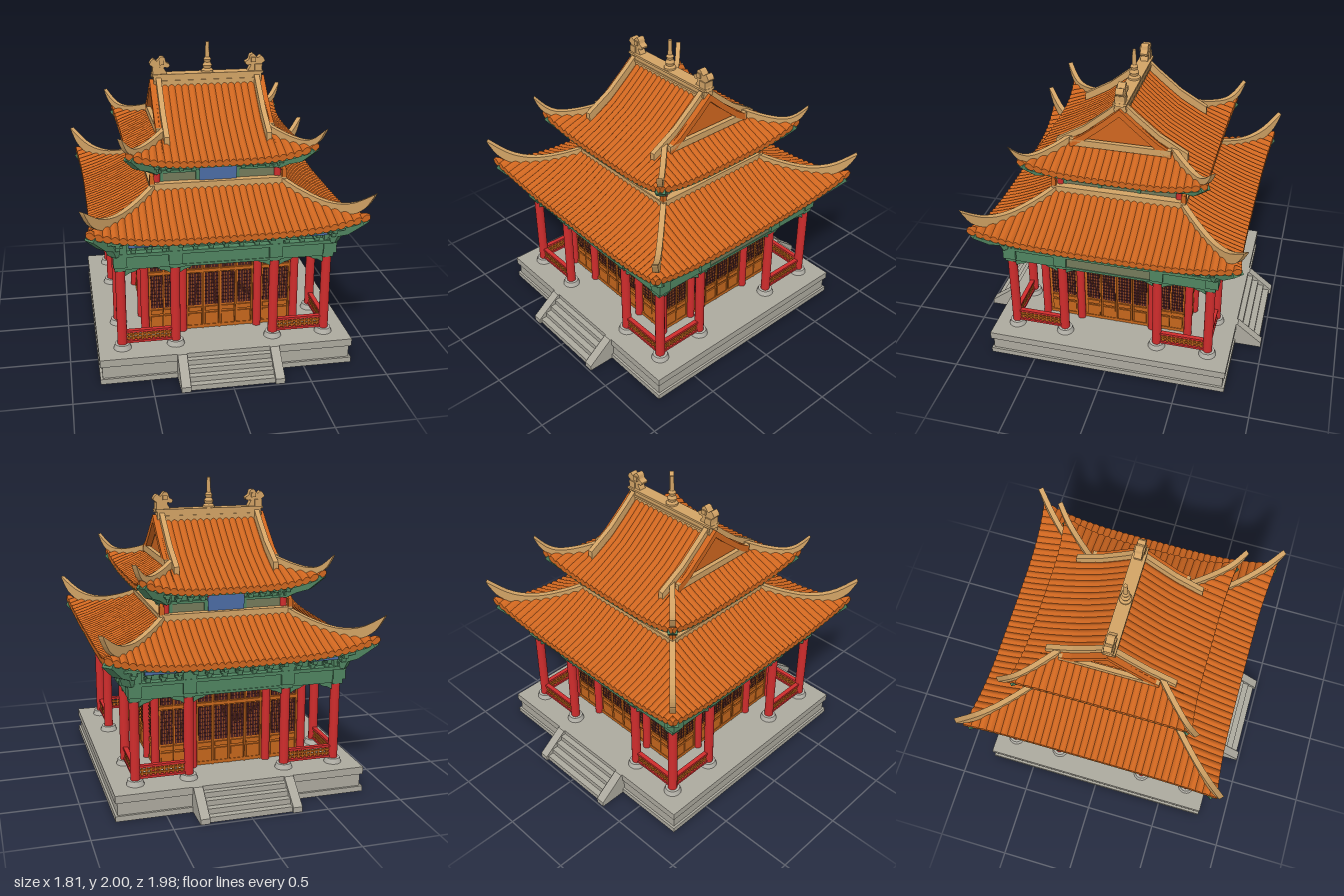
import * as THREE from 'three';
import { mergeGeometries, toCreasedNormals } from 'three/addons/utils/BufferGeometryUtils.js';

const mat = (name, color, side = THREE.FrontSide) => {
  const m = new THREE.MeshStandardMaterial({ color, side });
  m.name = name;
  return m;
};

const box = (w, h, d, x, y, z) => new THREE.BoxGeometry(w, h, d).translate(x, y, z);
const cyl = (rt, rb, y0, y1, x, z, n = 16) =>
  new THREE.CylinderGeometry(rt, rb, y1 - y0, n).translate(x, (y0 + y1) / 2, z);
// repeat front-side geometry on all four sides, or on two opposite ones
const fourSides = geos => geos.flatMap(g => [0, 1, 2, 3].map(i => g.clone().rotateY(i * Math.PI / 2)));
const mirrorEnds = geos => geos.flatMap(g => [g, g.clone().rotateY(Math.PI)]);
const toSide = geos => geos.map(g => g.clone().rotateY(Math.PI / 2));
// flat outline in xy, thickened along z and centred on z = 0
const plate = (pts, depth) => new THREE.ExtrudeGeometry(
  new THREE.Shape(pts.map(p => new THREE.Vector2(p[0], p[1]))), { depth, bevelEnabled: false }).translate(0, 0, -depth / 2);
const smooth = (pts, n = 14) =>
  new THREE.SplineCurve(pts.map(p => new THREE.Vector2(...p))).getPoints(n).map(v => [v.x, v.y]);

// roof heights by distance from the centre line
const lowerY = d => { const t = (0.835 - d) / 0.415; return 0.955 + 0.195 * (0.6 * t + 0.4 * t * t); };
const upperProfile = [[0, 1.745], [0.1, 1.655], [0.245, 1.535], [0.43, 1.425], [0.575, 1.355]];
const upperY = d => {
  let i = 0;
  while (i < 3 && d > upperProfile[i + 1][0]) i++;
  const [a, b] = [upperProfile[i], upperProfile[i + 1]];
  return a[1] + (b[1] - a[1]) * (d - a[0]) / (b[0] - a[0]);
};

// one roof slope facing +z, with ribs running up it and lifted corners
function roofSlope({ E, T, dTop, c, flare, lift, yOf, ribs, amp = 0.016, dy = 0, drop = 0.03 }) {
  const nA = ribs * 6, rows = 10, pos = [], idx = [];
  for (let i = 0; i <= nA; i++) {
    const a = -E + 2 * E * i / nA, A = Math.abs(a), bump = Math.abs(Math.sin(Math.PI * ribs * i / nA));
    const dEnd = A <= T ? dTop : Math.min(A, E);
    for (let j = 0; j <= rows; j++) {
      const d = E + (dEnd - E) * Math.max(0, j - 1) / (rows - 1);
      const k = Math.min(1, A / Math.max(d, 0.01)) ** 4 * Math.max(0, (d - c) / (E - c)) ** 2;
      const y = yOf(d) + lift * k + dy + (j ? amp * bump : -drop * (0.6 + 0.4 * bump));
      pos.push(a + Math.sign(a) * flare * k, y, d + flare * k);
      if (i < nA && j < rows) {
        const p = i * (rows + 1) + j, q = p + rows + 1;
        idx.push(p, q, q + 1, p, q + 1, p + 1);
      }
    }
  }
  const g = new THREE.BufferGeometry();
  g.setAttribute('position', new THREE.Float32BufferAttribute(pos, 3));
  g.setIndex(idx);
  g.computeVertexNormals();
  return toCreasedNormals(g, 0.7);
}

// upright slab on each diagonal, outlined by distance from centre and height
const diagonals = (pts, width) =>
  fourSides([plate(pts.map(p => [p[0] * Math.SQRT2, p[1]]), width).rotateY(Math.PI / 4)]);

// front row of stacked bracket arms stepping outwards, with an optional gap in the middle
function brackets(half, y0, h, reach, n, gap = -1) {
  const geos = [], step = 2 * half / n;
  for (let j = 0; j < 3; j++) {
    const out = reach * (j + 1) / 3, y = y0 + h * (j + 0.5) / 3;
    for (let i = 0; i <= n; i++) {
      const x = -half + step * i;
      if (Math.abs(x) < gap) continue;
      geos.push(box(0.028, h * 0.24, out + 0.04, x, y, half + out / 2 - 0.02));
      geos.push(box(step * (0.5 + 0.12 * j), h * 0.14, 0.022, x, y + h * 0.1, half + out - 0.015));
    }
  }
  geos.push(box(2 * (half + reach), 0.018, 0.025, 0, y0 + h, half + reach - 0.012));
  return geos;
}

export function createModel() {
  const M = {
    tile: mat('orange tile', 0xcf661f, THREE.DoubleSide), ridge: mat('tan ridge', 0xd2a365),
    green: mat('green paint', 0x4f8460, THREE.DoubleSide), beam: mat('grey green beam', 0x747a5a),
    red: mat('red lacquer', 0xcf2c2c), stone: mat('grey stone', 0xaca99e),
    pale: mat('pale stone', 0xb6b4ab), door: mat('orange wood', 0xc4661c),
    dark: mat('dark lattice', 0x451c1e), blue: mat('blue paint', 0x4b6ca4),
  };
  const model = new THREE.Group();
  const add = (name, material, geos) => {
    const flat = geos.map(g => (g.index ? g.toNonIndexed() : g));
    flat.forEach(g => g.deleteAttribute('uv'));
    const mesh = new THREE.Mesh(mergeGeometries(flat), material);
    mesh.name = name;
    model.add(mesh);
  };

  // platform and the two flights of steps
  add('platform', M.stone, [box(1.64, 0.035, 1.62, 0, 0.0175, 0), box(1.61, 0.1, 1.59, 0, 0.08, 0),
    box(1.64, 0.05, 1.62, 0, 0.145, 0)]);
  const steps = [];
  for (let i = 0; i < 4; i++) steps.push(box(0.54, 0.14 - i * 0.035, 0.045, 0, 0.07 - i * 0.0175, 0.825 + i * 0.042));
  for (const s of [-1, 1]) {
    steps.push(plate([[-0.78, 0], [-0.78, 0.17], [-0.82, 0.17], [-0.99, 0.035], [-0.99, 0]].reverse(), 0.06)
      .rotateY(Math.PI / 2).translate(s * 0.3, 0, 0));
  }
  add('steps', M.stone, mirrorEnds(steps));

  // veranda columns
  const colX = [-0.665, -0.32, 0.32];
  add('columnBases', M.pale, fourSides(colX.map(x => cyl(0.048, 0.058, 0.17, 0.203, x, 0.665))));
  add('outerColumns', M.red, fourSides(colX.map(x => cyl(0.031, 0.031, 0.2, 0.82, x, 0.665))));
  add('innerColumns', M.red, fourSides([-0.5, -0.25, 0.25].map(x => cyl(0.027, 0.027, 0.17, 0.84, x, 0.5))));

  // railings in the end bays
  const rails = [], lattice = [];
  for (const s of [-1, 1]) {
    for (const y of [0.285, 0.213]) rails.push(box(0.3, 0.015, 0.03, s * 0.4925, y, 0.665));
    for (const y of [0.235, 0.258]) lattice.push(box(0.3, 0.01, 0.018, s * 0.4925, y, 0.665));
    for (let i = 0; i < 10; i++) lattice.push(box(0.01, 0.07, 0.016, s * (0.365 + i * 0.0285), 0.248, 0.665));
  }
  add('handrails', M.red, fourSides(rails));
  add('railingLattice', M.door, fourSides(lattice));

  // inner hall: walls, windows and doors
  add('hallWalls', M.door, [box(0.97, 0.67, 0.97, 0, 0.505, 0)]);
  const panes = [], frames = [];
  const window = (x, y, w, h, nx, ny) => {
    panes.push(box(w, h, 0.006, x, y, 0.488));
    for (let i = 1; i < nx; i++) frames.push(box(0.003, h, 0.006, x - w / 2 + w * i / nx, y, 0.491));
    for (let i = 1; i < ny; i++) panes.push(box(w, 0.005, 0.009, x, y - h / 2 + h * i / ny, 0.491));
  };
  for (const x of [-0.165, -0.055, 0.055, 0.165, -0.42, -0.33, 0.33, 0.42]) {
    const w = Math.abs(x) > 0.2 ? 0.078 : 0.086;
    window(x, 0.455, w, 0.23, 5, 9);
    window(x, 0.655, w, 0.095, 4, 4);
    for (const [y, h] of [[0.31, 0.03], [0.235, 0.09]]) frames.push(box(w, h, 0.012, x, y, 0.488));
    frames.push(box(0.01, 0.55, 0.016, x + w / 2 + 0.008, 0.445, 0.49));
  }
  for (const y of [0.185, 0.59]) frames.push(box(0.96, 0.022, 0.026, 0, y, 0.485));
  add('windowPanes', M.dark, fourSides(panes));
  add('doorFrames', M.door, fourSides(frames));
  add('hallLintels', M.red, fourSides([box(0.98, 0.09, 0.03, 0, 0.785, 0.485)]));

  // painted beams, capitals and carved braces
  const centreBeam = box(0.58, 0.085, 0.05, 0, 0.78, 0.672);
  add('frontAndBackBeams', M.green, mirrorEnds([centreBeam]));
  add('sideBeams', M.beam, mirrorEnds(toSide([centreBeam])));
  const frieze = [box(1.42, 0.022, 0.1, 0, 0.832, 0.67), box(0.58, 0.016, 0.06, 0, 0.735, 0.672)];
  for (const x of colX) frieze.push(box(0.085, 0.2, 0.085, x, 0.85, 0.675), box(0.07, 0.03, 0.07, x, 0.735, 0.665));
  for (const s of [-1, 1]) {
    frieze.push(box(0.3, 0.095, 0.055, s * 0.49, 0.778, 0.67));
    for (const [x, dir] of [[0.29, -1], [0.35, 1], [0.635, -1]]) {
      const brace = [[0, 0], [0, -0.055], [0.035, -0.035], [0.06, -0.03], [0.11, 0]];
      const pts = brace.map(p => [s * (x + dir * p[0]), 0.735 + p[1]]);
      frieze.push(plate(pts, 0.025).translate(0, 0, 0.668));
    }
  }
  add('frieze', M.green, fourSides(frieze));
  add('lowerBracketCore', M.green, [box(1.34, 0.14, 1.34, 0, 0.9, 0)]);
  add('lowerBlueBand', M.blue, fourSides([box(1.24, 0.02, 0.012, 0, 0.928, 0.799)]));
  add('lowerBrackets', M.green, fourSides(brackets(0.68, 0.84, 0.105, 0.11, 14)));
  add('lowerCornerBrackets', M.green, diagonals(
    [[0.66, 0.83], [0.715, 0.83], [0.73, 0.88], [0.78, 0.91], [0.855, 1.0], [0.84, 1.025], [0.66, 0.97]], 0.07));

  // lower roof
  const lower = { E: 0.835, T: 0.42, dTop: 0.42, c: 0.42, flare: 0.035, lift: 0.1, yOf: lowerY, ribs: 38 };
  add('lowerRoofTiles', M.tile, fourSides([roofSlope(lower)]));
  add('lowerSoffit', M.green, fourSides([roofSlope({ ...lower, amp: 0, dy: -0.03, drop: 0 })]));
  add('lowerHipRidges', M.ridge, diagonals([
    ...smooth([[0.40, 1.195], [0.52, 1.13], [0.66, 1.088], [0.78, 1.112], [0.89, 1.205]]),
    ...smooth([[0.885, 1.185], [0.84, 1.09], [0.76, 1.035], [0.6, 1.03], [0.40, 1.12]])], 0.036));
  add('lowerTopRidge', M.ridge, fourSides([box(0.88, 0.05, 0.045, 0, 1.16, 0.418), box(0.88, 0.012, 0.055, 0, 1.183, 0.418)]));
  add('cornerOrnaments', M.tile, fourSides([box(0.03, 0.055, 0.03, 0.43, 1.215, 0.43), cyl(0.008, 0.016, 1.24, 1.265, 0.43, 0.43, 8)]));

  // upper storey
  add('upperWalls', M.beam, [box(0.79, 0.2, 0.79, 0, 1.16, 0)]);
  add('upperCornerPosts', M.red, fourSides([cyl(0.022, 0.022, 1.1, 1.265, 0.395, 0.395)]));
  add('upperBeams', M.green, [...fourSides([box(0.82, 0.018, 0.03, 0, 1.253, 0.39),
    ...[-0.365, -0.13, 0.13].map(x => box(0.025, 0.09, 0.02, x, 1.21, 0.39))]), box(0.78, 0.14, 0.78, 0, 1.325, 0)]);
  const sign = [[-0.12, 1.19], [0.12, 1.19], [0.122, 1.275], [0.08, 1.335], [-0.08, 1.335], [-0.122, 1.275]];
  add('signBoards', M.blue, mirrorEnds([plate(sign, 0.009).translate(0, 0, 0.412)]));
  add('signBrackets', M.red, mirrorEnds([-1, 1].map(s =>
    plate([[s * 0.122, 1.275], [s * 0.125, 1.335], [s * 0.08, 1.335]], 0.009).translate(0, 0, 0.414))));
  add('upperBrackets', M.green, mirrorEnds([...brackets(0.4, 1.26, 0.095, 0.12, 10, 0.1),
    ...toSide(brackets(0.4, 1.26, 0.095, 0.12, 10))]));
  add('upperCornerBrackets', M.green, diagonals(
    [[0.38, 1.25], [0.42, 1.25], [0.47, 1.29], [0.53, 1.32], [0.595, 1.4], [0.58, 1.42], [0.38, 1.38]], 0.06));

  // upper hip-and-gable roof
  const upper = { E: 0.575, T: 0.36, dTop: 0, c: 0.36, flare: 0.03, lift: 0.09, yOf: upperY, ribs: 26 };
  const skirt = roofSlope({ ...upper, T: 0.31, dTop: 0.31 }).rotateY(Math.PI / 2);
  add('upperRoofTiles', M.tile, mirrorEnds([roofSlope(upper), skirt]));
  add('upperSoffit', M.green, fourSides([roofSlope({ ...upper, dTop: 0.36, amp: 0, dy: -0.03, drop: 0 })]));
  add('upperHipRidges', M.ridge, diagonals([
    ...smooth([[0.33, 1.525], [0.43, 1.48], [0.52, 1.46], [0.58, 1.482], [0.64, 1.555]]),
    ...smooth([[0.636, 1.54], [0.605, 1.465], [0.55, 1.42], [0.45, 1.415], [0.33, 1.46]])], 0.034));

  // gable ends: strips following the slope at a given offset from the tiles
  const strip = (x, width, lo, hi, zMax) => {
    const zs = [0, 0.05, 0.1, 0.17, 0.245, 0.33, 0.43].filter(z => z <= zMax);
    const edge = (off, list, s) => list.map(z => [s * z, upperY(z) + off]);
    const rev = [...zs].reverse();
    const pts = [...edge(hi, rev, -1), ...edge(hi, zs.slice(1), 1), ...edge(lo, rev, 1), ...edge(lo, zs.slice(1), -1)];
    return plate(pts, width).rotateY(Math.PI / 2).translate(x, 0, 0);
  };
  add('descendingRidges', M.ridge, mirrorEnds([strip(0.328, 0.034, -0.02, 0.062, 0.43)]));
  add('vergeTiles', M.tile, mirrorEnds([strip(0.365, 0.04, -0.03, 0.019, 0.33)]));
  add('gableWalls', M.tile, mirrorEnds([plate([[-0.33, 1.45], [0.33, 1.45], ...[0.33, 0.245, 0.1, 0, -0.1, -0.245, -0.33]
    .map(z => [z, upperY(Math.abs(z)) - 0.01])], 0.02).rotateY(Math.PI / 2).translate(0.33, 0, 0)]));
  add('gableSills', M.ridge, mirrorEnds([box(0.03, 0.045, 0.66, 0.37, 1.495, 0)]));

  // main ridge, its end beasts and the central finial
  add('mainRidge', M.ridge, [box(0.72, 0.09, 0.07, 0, 1.745, 0), box(0.74, 0.014, 0.088, 0, 1.793, 0),
    box(0.72, 0.014, 0.082, 0, 1.75, 0)]);
  add('ridgeBeasts', M.ridge, mirrorEnds([
    plate(smooth([[0.375, 1.78], [0.36, 1.84], [0.385, 1.865], [0.36, 1.9], [0.335, 1.885], [0.31, 1.912], [0.285, 1.905],
      [0.275, 1.875], [0.252, 1.86], [0.262, 1.84], [0.29, 1.84], [0.275, 1.81], [0.265, 1.78]], 40).reverse(), 0.05),
    box(0.03, 0.03, 0.07, 0.305, 1.875, 0), box(0.05, 0.05, 0.065, 0.34, 1.82, 0)]));
  const finial = new THREE.LatheGeometry([[0, 2], [0.012, 2], [0.015, 1.9], [0.026, 1.885], [0.02, 1.865], [0.032, 1.845],
    [0.026, 1.825], [0.04, 1.812], [0.04, 1.79]].reverse().map(p => new THREE.Vector2(...p)), 16);
  add('finial', M.ridge, [toCreasedNormals(finial, 0.5)]);
  return model;
}
